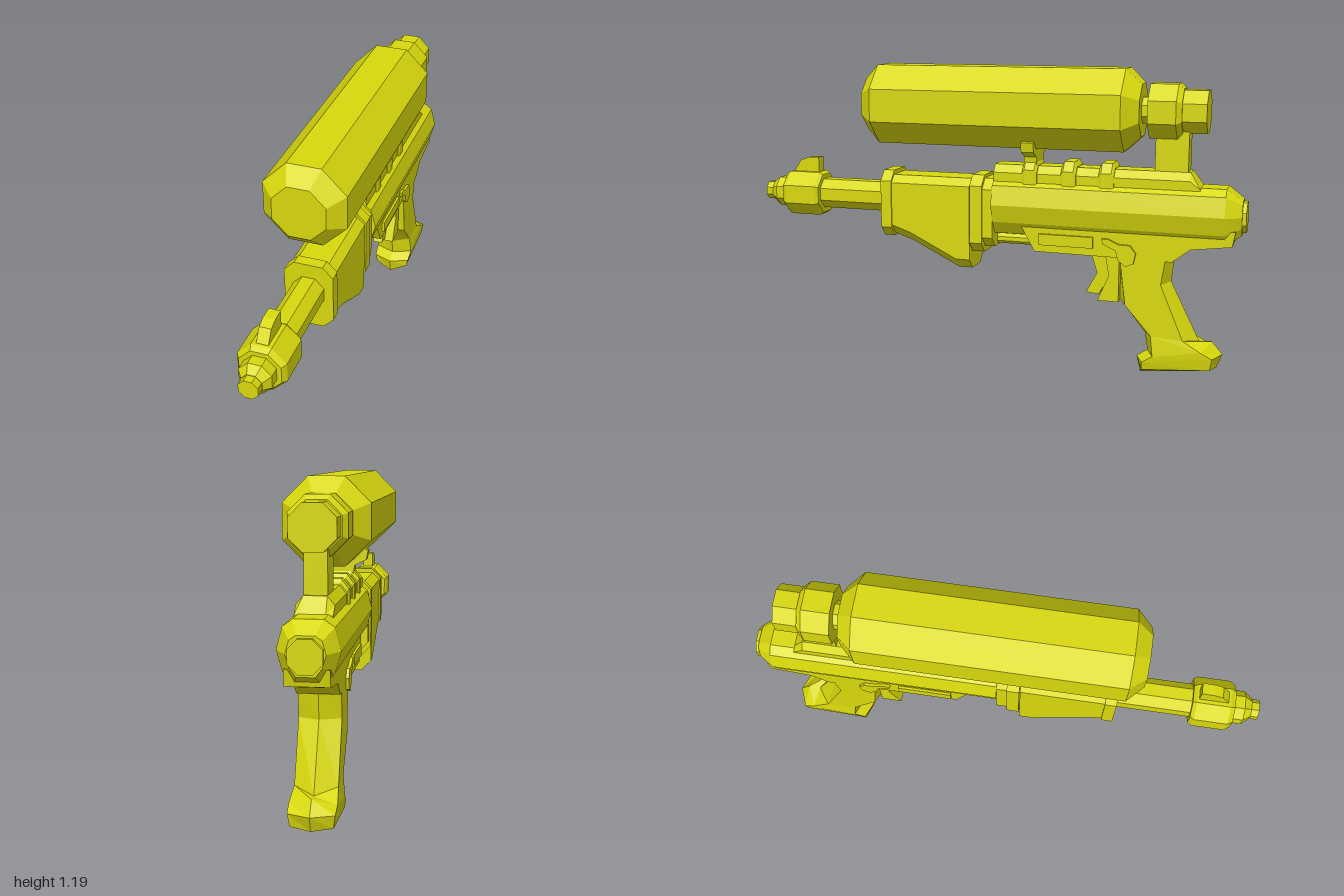
import * as THREE from 'three';

const paint = new THREE.MeshStandardMaterial({ color: 0xd8d80d });
paint.name = 'yellow';

// Skin between rings of equal point count ([x, y, z] each), with closed ends.
function loft(rings) {
  const tris = [];
  const n = rings[0].length;
  for (let r = 0; r < rings.length - 1; r++) {
    for (let i = 0; i < n; i++) {
      const j = (i + 1) % n, a = rings[r], b = rings[r + 1];
      tris.push([a[i], a[j], b[j]], [a[i], b[j], b[i]]);
    }
  }
  const first = rings[0], last = rings[rings.length - 1];
  for (let i = 1; i < n - 1; i++) {
    tris.push([first[0], first[i + 1], first[i]], [last[0], last[i], last[i + 1]]);
  }
  // A negative enclosed volume means the faces point inward.
  let volume = 0;
  for (const [a, b, c] of tris) {
    volume += new THREE.Vector3(...a).dot(new THREE.Vector3(...b).cross(new THREE.Vector3(...c)));
  }
  if (volume < 0) tris.forEach((t) => t.reverse());
  const geo = new THREE.BufferGeometry();
  geo.setAttribute('position', new THREE.Float32BufferAttribute(tris.flat(2), 3));
  geo.computeVertexNormals();
  return geo;
}

// Mirrors a right-hand profile, listed top to bottom, into a closed ring at z.
const mirrorRing = (half, z) => [
  ...half.map(([x, y]) => [x, y, z]),
  ...half.slice().reverse().map(([x, y]) => [-x, y, z]),
];

// Octagonal ring with flat top, chamfered by cut.
function octagon(z, cy, hw, hh = hw, cut = hw * 0.586) {
  return mirrorRing([[hw - cut, cy + hh], [hw, cy + hh - cut], [hw, cy - hh + cut], [hw - cut, cy - hh]], z);
}

// Octagonal turned part from [z, radius] pairs.
const turned = (cy, pairs) => loft(pairs.map(([z, r]) => octagon(z, cy, r)));

// Side outline of [z, y] points extruded symmetrically across x.
function slab(points, halfWidth) {
  const shape = new THREE.Shape(points.map(([z, y]) => new THREE.Vector2(z, y)));
  const geo = new THREE.ExtrudeGeometry(shape, { depth: halfWidth * 2, bevelEnabled: false });
  geo.translate(0, 0, -halfWidth);
  geo.rotateY(-Math.PI / 2);
  return geo;
}

export function createModel() {
  const model = new THREE.Group();
  model.name = 'toyBlaster';
  const add = (name, geo) => {
    const mesh = new THREE.Mesh(geo, paint);
    mesh.name = name;
    model.add(mesh);
    return mesh;
  };

  // Tank with its neck and rear knobs
  add('tank', turned(1.035, [[0.52, 0.1], [0.46, 0.156], [-0.54, 0.156], [-0.6, 0.1]]));
  add('tankNeck', turned(1.035, [[-0.59, 0.05], [-0.64, 0.05]]));
  add('largeKnob', turned(1.035, [[-0.63, 0.102], [-0.735, 0.102], [-0.755, 0.085]]));
  add('smallKnob', turned(1.035, [[-0.75, 0.08], [-0.845, 0.08]]));
  add('tankPost', slab([[-0.655, 0.75], [-0.655, 1.0], [-0.78, 1.0], [-0.78, 0.81], [-0.83, 0.75]], 0.04));

  // Receiver, tapered toward the rear
  const receiver = [[0.05, 0.755], [0.085, 0.73], [0.105, 0.655], [0.085, 0.585], [0.05, 0.535]];
  const tail = receiver.map(([x, y]) => [x * 0.62, 0.648 + (y - 0.648) * 0.6]);
  add('receiver', loft([mirrorRing(receiver, -0.025), mirrorRing(receiver, -0.925), mirrorRing(tail, -0.985)]));
  add('tailCap', turned(0.647, [[-0.97, 0.057], [-1.0, 0.057]]));

  // Top rib with raised bands
  const rib = [[0.04, 0.81], [0.065, 0.78], [0.065, 0.73]];
  const ribEnd = [[0.04, 0.755], [0.065, 0.75], [0.065, 0.73]];
  add('topRib', loft([mirrorRing(rib, -0.025), mirrorRing(rib, -0.79), mirrorRing(ribEnd, -0.83)]));
  const band = [[0.045, 0.832], [0.073, 0.795], [0.073, 0.73]];
  const bandEdge = [[0.042, 0.815], [0.068, 0.785], [0.068, 0.73]];
  for (const z of [-0.172, -0.327, -0.475]) {
    add('ribBand', loft([
      mirrorRing(bandEdge, z + 0.03), mirrorRing(band, z + 0.02),
      mirrorRing(band, z - 0.02), mirrorRing(bandEdge, z - 0.03),
    ]));
  }

  // Cradle holding the tank
  const cradleHalf = [[0.065, 0.88], [0.09, 0.91], [0.107, 0.905], [0.1, 0.868], [0.055, 0.845], [0.05, 0.81]];
  const cradle = new THREE.Shape([
    ...cradleHalf, ...cradleHalf.slice().reverse().map(([x, y]) => [-x, y]),
  ].map(([x, y]) => new THREE.Vector2(x, y)));
  add('tankCradle', new THREE.ExtrudeGeometry(cradle, { depth: 0.05, bevelEnabled: false })).position.z = -0.197;

  // Lower frame and front guide rod
  add('lowerFrame', slab([
    [-0.14, 0.6], [-0.14, 0.575], [-0.197, 0.475], [-0.52, 0.473], [-0.735, 0.47],
    [-0.8, 0.522], [-0.955, 0.543], [-0.965, 0.6],
  ], 0.075));
  add('guideRod', turned(0.505, [[0.0, 0.02], [-0.2, 0.02]]));

  // Grip rows: front ridge, front side, back side, back ridge, each [z, y]
  const gripRows = [
    [[-0.517, 0.48], [-0.535, 0.48], [-0.71, 0.48], [-0.735, 0.472]],
    [[-0.522, 0.298], [-0.56, 0.288], [-0.695, 0.378], [-0.725, 0.378]],
    [[-0.63, 0.163], [-0.662, 0.172], [-0.785, 0.165], [-0.84, 0.148]],
    [[-0.64, 0.094], [-0.672, 0.094], [-0.855, 0.126], [-0.888, 0.152]],
    [[-0.598, 0.067], [-0.63, 0.067], [-0.898, 0.104], [-0.93, 0.104]],
    [[-0.614, 0.003], [-0.63, 0.035], [-0.89, 0.057], [-0.909, 0.05]],
  ];
  const gripWidths = [0.075, 0.075, 0.075, 0.082, 0.08, 0.073];
  add('grip', loft(gripRows.map(([F, f, b, B], i) => {
    const w = gripWidths[i];
    return [[0, F], [w, f], [w, b], [0, B], [-w, b], [-w, f]].map(([x, [z, y]]) => [x, y, z]);
  })));

  // Trigger and its housing
  add('triggerHousing', slab([[-0.475, 0.48], [-0.49, 0.394], [-0.447, 0.292], [-0.53, 0.292], [-0.53, 0.48]], 0.055));
  add('trigger', slab([[-0.41, 0.48], [-0.437, 0.394], [-0.394, 0.313], [-0.445, 0.308], [-0.495, 0.394], [-0.48, 0.48]], 0.02));

  // Side panels and levers, on both sides
  for (const side of [1, -1]) {
    const panel = add('sidePanel', new THREE.BoxGeometry(0.012, 0.044, 0.215));
    panel.position.set(side * 0.079, 0.526, -0.323);
    const lever = add('sideLever', slab([
      [-0.465, 0.545], [-0.49, 0.545], [-0.53, 0.527], [-0.575, 0.525], [-0.598, 0.495],
      [-0.59, 0.455], [-0.56, 0.442], [-0.53, 0.465], [-0.52, 0.502], [-0.47, 0.525],
    ], 0.008));
    lever.position.x = side * 0.078;
  }

  // Fore-end with a deepening belly, held between clamps
  const foreRing = (z, low) => mirrorRing([[0.06, 0.75], [0.09, 0.72], [0.09, low + 0.04], [0.05, low]], z);
  add('foreEnd', loft([foreRing(0.41, 0.51), foreRing(0.32, 0.48), foreRing(0.125, 0.384), foreRing(0.068, 0.384)]));
  add('frontClamp', loft([octagon(0.445, 0.632, 0.095, 0.135, 0.04), octagon(0.4, 0.632, 0.095, 0.135, 0.04)]));
  add('rearClamp', loft([octagon(0.065, 0.61, 0.095, 0.155, 0.04), octagon(0.015, 0.61, 0.095, 0.155, 0.04)]));
  add('clampCollar', loft([octagon(0.02, 0.615, 0.088, 0.137, 0.04), octagon(-0.027, 0.615, 0.088, 0.137, 0.04)]));

  // Barrel, nozzle and front sight
  add('barrel', turned(0.65, [[0.76, 0.06], [0.43, 0.06]]));
  add('nozzle', turned(0.648, [[0.9, 0.077], [0.88, 0.09], [0.75, 0.09], [0.735, 0.08]]));
  add('nozzleStep', turned(0.648, [[0.97, 0.038], [0.94, 0.06], [0.89, 0.06]]));
  add('nozzleTip', turned(0.648, [[1.0, 0.036], [0.96, 0.036]]));
  add('frontSight', slab([[0.87, 0.72], [0.87, 0.74], [0.84, 0.785], [0.805, 0.798], [0.757, 0.8], [0.757, 0.72]], 0.022));

  return model;
}
